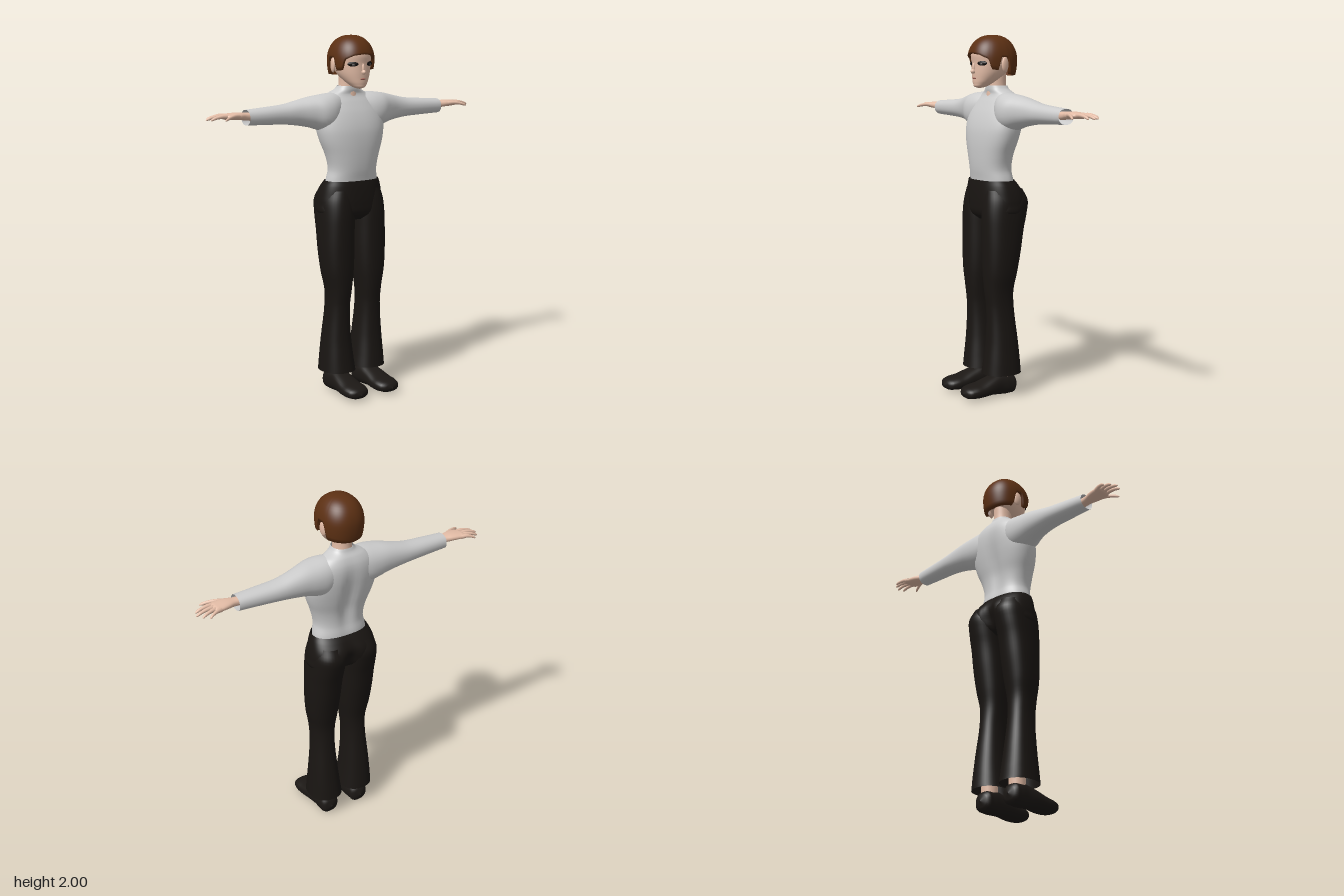
import * as THREE from 'three';

const mat = (color) => new THREE.MeshStandardMaterial({ color, side: THREE.DoubleSide });
const knit = mat(0xcccccc), skin = mat(0xe3bca6), cloth = mat(0x191512), leather = mat(0x1c1815),
  hairMat = mat(0x5c3013), dark = mat(0x120e0d), iris = mat(0x4a4644), lip = mat(0xa8685c);

// Smooth grid surface closed around its columns; point(row, col) gives each vertex.
function grid(rows, cols, point, flip = false) {
  const pos = [], index = [];
  for (let r = 0; r <= rows; r++)
    for (let c = 0; c < cols; c++) pos.push(...point(r, c).toArray());
  for (let r = 0; r < rows; r++)
    for (let c = 0; c < cols; c++) {
      const a = r * cols + c, d = r * cols + (c + 1) % cols, b = a + cols, e = d + cols;
      if (flip) index.push(a, e, b, a, d, e);
      else index.push(a, b, e, a, e, d);
    }
  const g = new THREE.BufferGeometry();
  g.setAttribute('position', new THREE.Float32BufferAttribute(pos, 3));
  g.setIndex(index);
  g.computeVertexNormals();
  return g;
}

// Superelliptic loft. Section: [t, aMin, aMax, bMin, bMax]; map places (t, a, b) in space.
function loft(sections, map, { n = 2, cols = 32, sub = 4, warp } = {}) {
  const spline = new THREE.CubicInterpolant(sections.map((s) => s[0]), sections.flatMap((s) => s.slice(1)), 4);
  const o = map(0, 0, 0), [t1, a1, b1] = [map(1, 0, 0), map(0, 1, 0), map(0, 0, 1)].map((v) => v.sub(o));
  const flip = a1.cross(b1).dot(t1) > 0;
  const pw = (v) => Math.sign(v) * Math.abs(v) ** (2 / n);
  return grid((sections.length - 1) * sub, cols, (r, c) => {
    const i = Math.min(Math.floor(r / sub), sections.length - 2);
    const t = THREE.MathUtils.lerp(sections[i][0], sections[i + 1][0], r / sub - i);
    const [a0, aN, b0, bN] = spline.evaluate(t), w = (c / cols) * Math.PI * 2;
    const p = map(t, (a0 + aN) / 2 + (aN - a0) / 2 * pw(Math.cos(w)), (b0 + bN) / 2 + (bN - b0) / 2 * pw(Math.sin(w)));
    if (warp) warp(p);
    return p;
  }, flip);
}

const upright = (s = 1) => (t, a, b) => new THREE.Vector3(s * a, t, b);   // t = y, a = x, b = z
const sideways = (s) => (t, a, b) => new THREE.Vector3(s * t, b, a);      // t = x, a = z, b = y
const forward = (s) => (t, a, b) => new THREE.Vector3(s * a, b, t);       // t = z, a = x, b = y

// Groove down the middle of the back, strongest at height yMid
const groove = (depth, width, yMid, ySpan) => (p) => {
  if (p.z < -0.06) p.z += depth * Math.exp(-((p.x / width) ** 2) - ((p.y - yMid) / ySpan) ** 2);
};

function hairGeometry() {
  // Hem height by angle from the front: fringe, sideburn, ear gap, nape
  const hem = new THREE.LinearInterpolant([0, 0.5, 0.95, 1.08, 1.4, 1.48, 1.8, 1.92, 3.15],
    [1.9, 1.893, 1.87, 1.815, 1.81, 1.88, 1.88, 1.79, 1.778], 1);
  const rows = 16, cols = 96;
  return grid(rows + 1, cols, (r, c) => {
    const phi = (c / cols) * Math.PI * 2;
    const h = hem.evaluate(Math.PI - Math.abs(Math.PI - phi))[0] - 1.865;
    const end = Math.acos(h / (h > 0 ? 0.135 : 0.2));
    const th = Math.max(0.001, end * Math.min(r, rows) / rows), cy = Math.cos(th);
    const rad = Math.sin(th) ** 0.85 * (r > rows ? 0.84 : 1);
    const pw = (v) => Math.sign(v) * Math.abs(v) ** (2 / 2.25);
    return new THREE.Vector3(0.12 * rad * pw(Math.sin(phi)), 1.865 + cy * (cy > 0 ? 0.135 : 0.2),
      -0.05 + 0.137 * rad * pw(Math.cos(phi)));
  });
}

export function createModel() {
  const model = new THREE.Group();
  const add = (name, geometry, material, x = 0, y = 0, z = 0) => {
    const m = new THREE.Mesh(geometry, material);
    m.name = name;
    m.position.set(x, y, z);
    model.add(m);
    return m;
  };
  const blob = (name, material, p, size, turn = 0) => {
    const m = add(name, new THREE.SphereGeometry(1, 20, 14), material, ...p);
    m.scale.set(...size);
    m.rotation.y = turn;
  };

  // Sweater body
  add('sweaterBody', loft([
    [1.17, -0.157, 0.157, -0.135, 0.042], [1.21, -0.156, 0.156, -0.138, 0.046],
    [1.27, -0.145, 0.145, -0.132, 0.056], [1.35, -0.162, 0.162, -0.138, 0.062],
    [1.43, -0.192, 0.192, -0.157, 0.062], [1.5, -0.208, 0.208, -0.171, 0.054],
    [1.58, -0.205, 0.205, -0.18, 0.028], [1.64, -0.175, 0.175, -0.176, -0.003],
    [1.68, -0.125, 0.125, -0.16, -0.025], [1.705, -0.075, 0.075, -0.142, -0.022],
    [1.725, -0.058, 0.058, -0.134, -0.022],
  ], upright(), { n: 2.3, cols: 64, warp: groove(0.024, 0.04, 1.42, 0.17) }), knit);

  // Trouser seat
  add('trouserSeat', loft([
    [0.99, -0.1, 0.1, -0.13, 0.02], [1.02, -0.185, 0.185, -0.175, 0.052],
    [1.08, -0.197, 0.197, -0.203, 0.061], [1.13, -0.191, 0.191, -0.2, 0.06],
    [1.18, -0.177, 0.177, -0.168, 0.056], [1.21, -0.163, 0.163, -0.143, 0.052],
  ], upright(), { n: 2.4, cols: 64, warp: groove(0.04, 0.04, 1.06, 0.08) }), cloth);

  // Head and neck
  add('neck', loft([
    [1.66, -0.062, 0.062, -0.14, -0.02], [1.72, -0.052, 0.052, -0.13, -0.025],
    [1.8, -0.052, 0.052, -0.13, -0.02],
  ], upright()), skin);
  add('head', loft([
    [1.712, -0.003, 0.003, 0.03, 0.036], [1.718, -0.025, 0.025, 0.0, 0.056],
    [1.735, -0.047, 0.047, -0.035, 0.064], [1.765, -0.071, 0.071, -0.085, 0.066],
    [1.8, -0.089, 0.089, -0.13, 0.067], [1.85, -0.1, 0.1, -0.155, 0.066],
    [1.9, -0.102, 0.102, -0.16, 0.069], [1.95, -0.085, 0.085, -0.14, 0.04],
    [1.975, -0.03, 0.03, -0.08, -0.02],
  ], upright(), { n: 2.1, cols: 40 }), skin);
  add('hair', hairGeometry(), hairMat);
  blob('nose', skin, [0, 1.803, 0.069], [0.011, 0.013, 0.018]);
  blob('noseBridge', skin, [0, 1.822, 0.066], [0.008, 0.028, 0.01]);
  blob('mouth', lip, [0, 1.766, 0.064], [0.018, 0.005, 0.006]);

  for (const s of [1, -1]) {
    const side = s > 0 ? 'left' : 'right';
    // Eyes and ears
    blob(side + 'Eye', dark, [s * 0.054, 1.847, 0.048], [0.03, 0.013, 0.008], s * 0.5);
    blob(side + 'Iris', iris, [s * 0.053, 1.843, 0.052], [0.011, 0.008, 0.007], s * 0.5);
    blob(side + 'Ear', skin, [s * 0.106, 1.84, -0.066], [0.012, 0.042, 0.024], s * 0.25);

    // Sleeve
    add(side + 'Sleeve', loft([
      [0.06, -0.16, -0.02, 1.52, 1.688], [0.13, -0.172, 0.015, 1.48, 1.688],
      [0.19, -0.172, 0.018, 1.487, 1.682], [0.25, -0.168, -0.005, 1.506, 1.673],
      [0.32, -0.164, -0.026, 1.52, 1.657], [0.4, -0.16, -0.036, 1.53, 1.64],
      [0.52, -0.15, -0.04, 1.536, 1.63], [0.64, -0.14, -0.045, 1.54, 1.622],
    ], sideways(s), { n: 2.2 }), knit);

    // Palm, then thumb and fingers as [x, z] root and tip
    add(side + 'Palm', loft([
      [0.61, -0.117, -0.064, 1.563, 1.607], [0.65, -0.12, -0.062, 1.568, 1.608],
      [0.69, -0.133, -0.05, 1.572, 1.611], [0.74, -0.143, -0.048, 1.575, 1.609],
      [0.768, -0.145, -0.06, 1.579, 1.604], [0.778, -0.115, -0.095, 1.587, 1.595],
    ], sideways(s), { n: 2.3, cols: 24 }), skin);
    const fingers = [[0.69, -0.064, 0.805, -0.014], [0.75, -0.069, 0.857, -0.075],
      [0.75, -0.094, 0.868, -0.108], [0.75, -0.115, 0.85, -0.14], [0.74, -0.133, 0.82, -0.164]];
    fingers.forEach(([x0, z0, x1, z1], i) => {
      const ring = ([k, r]) => {
        const z = z0 + (z1 - z0) * k, y = 1.592 + 0.006 * Math.sin(k * 3) - 0.014 * k * k;
        return [x0 + (x1 - x0) * k, z - r, z + r, y - r, y + r];
      };
      const stations = [[0, 0.013], [0.35, 0.0105], [0.7, 0.0085], [0.93, 0.006], [1, 0.0005]];
      add(side + (i ? 'Finger' + i : 'Thumb'), loft(stations.map(ring), sideways(s), { cols: 12, sub: 3 }), skin);
    });

    // Flared trouser leg
    add(side + 'TrouserLeg', loft([
      [0.13, 0.004, 0.198, -0.158, 0.063], [0.2, 0.014, 0.193, -0.151, 0.055],
      [0.32, 0.028, 0.183, -0.137, 0.043], [0.5, 0.04, 0.168, -0.115, 0.041],
      [0.6, 0.032, 0.172, -0.112, 0.052], [0.7, 0.019, 0.19, -0.13, 0.06],
      [0.82, 0.011, 0.199, -0.152, 0.063], [0.94, 0.007, 0.2, -0.172, 0.064],
      [1.03, 0.002, 0.199, -0.194, 0.063], [1.1, 0, 0.193, -0.203, 0.056],
      [1.16, 0.01, 0.172, -0.175, 0.045],
    ], upright(s), { n: 2.3, cols: 40 }), cloth);

    // Ankle and shoe
    add(side + 'Ankle', new THREE.CylinderGeometry(0.046, 0.044, 0.16, 24), skin, s * 0.1, 0.17, -0.065);
    add(side + 'Shoe', loft([
      [-0.137, 0.097, 0.103, 0.058, 0.064], [-0.125, 0.06, 0.14, 0.022, 0.1],
      [-0.085, 0.045, 0.155, 0.006, 0.125], [-0.03, 0.041, 0.157, 0.007, 0.13],
      [0.03, 0.038, 0.167, 0.013, 0.113], [0.1, 0.033, 0.175, 0.01, 0.09],
      [0.16, 0.037, 0.172, 0.012, 0.079], [0.193, 0.062, 0.15, 0.02, 0.064],
      [0.206, 0.103, 0.109, 0.038, 0.044],
    ], forward(s), { n: 2.4 }), leather);
  }
  return model;
}
